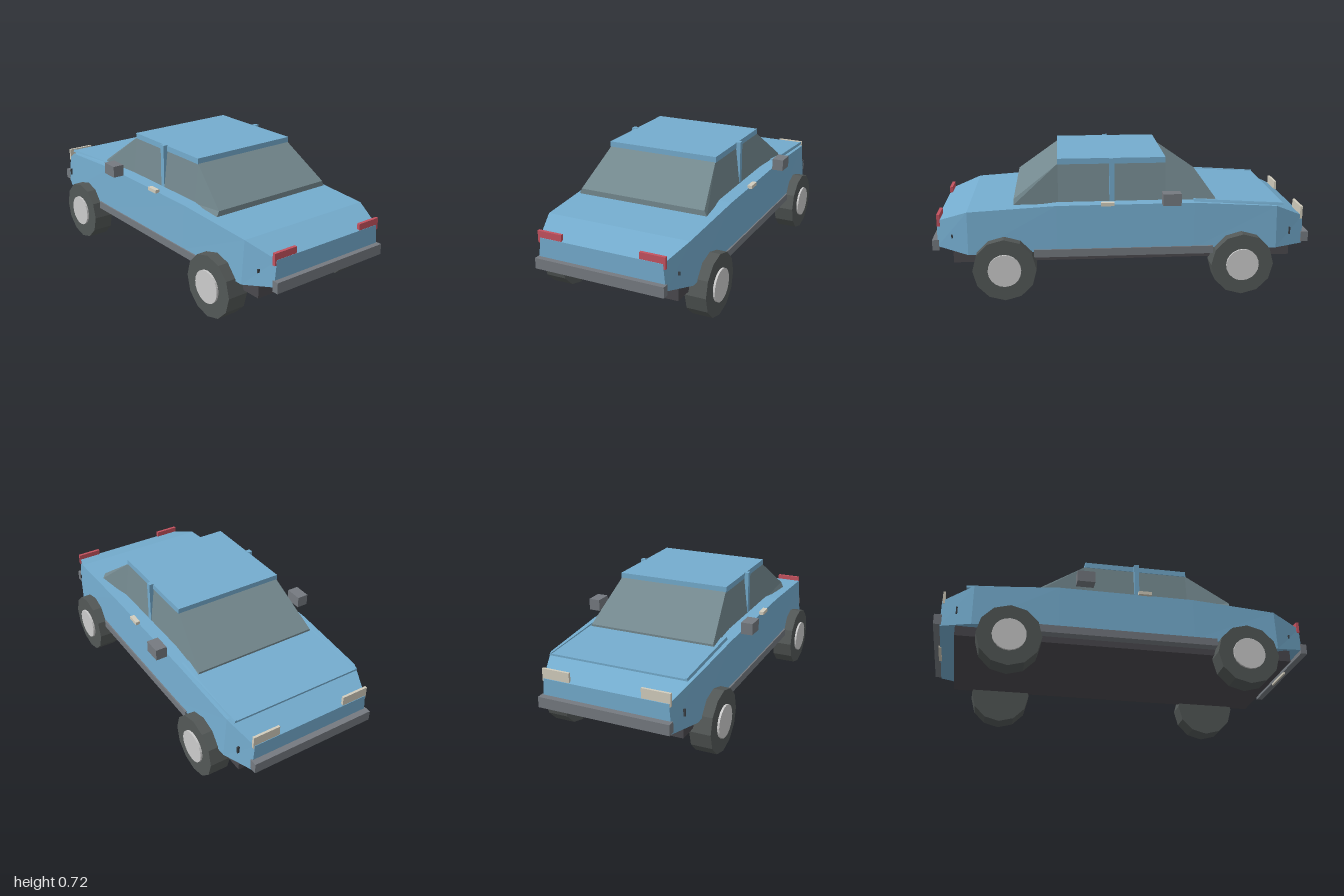
import * as THREE from 'three';

const mat = (color) => new THREE.MeshStandardMaterial({ color, flatShading: true });

// Closed hull lofted through four-cornered sections, ordered from +z to -z:
// [z, bottom y, top y, bottom half width, top half width]
function loft(sections) {
  const rings = sections.map(([z, b, t, wb, wt]) => [[-wb, b, z], [wb, b, z], [wt, t, z], [-wt, t, z]]);
  const pos = [];
  const quad = (a, b, c, d) => pos.push(...a, ...b, ...c, ...a, ...c, ...d);
  for (let i = 0; i < rings.length - 1; i++) {
    for (let j = 0; j < 4; j++) {
      const k = (j + 1) % 4;
      quad(rings[i][j], rings[i + 1][j], rings[i + 1][k], rings[i][k]);
    }
  }
  const last = rings[rings.length - 1];
  quad(...rings[0]);
  quad(last[3], last[2], last[1], last[0]);
  const geo = new THREE.BufferGeometry();
  geo.setAttribute('position', new THREE.Float32BufferAttribute(pos, 3));
  geo.computeVertexNormals();
  return geo;
}

export function createModel() {
  const car = new THREE.Group();
  car.name = 'car';

  const paint = mat(0x74acce);
  const glass = mat(0x74898f);
  const trim = mat(0x757a80);
  const under = mat(0x4a494e);
  const rubber = mat(0x535857);
  const metal = mat(0xcccccc);
  const red = mat(0xc4525f);
  const lamp = mat(0xd2cdbd);
  const dark = mat(0x3a4046);

  const add = (name, geo, material, x = 0, y = 0, z = 0) => {
    const mesh = new THREE.Mesh(geo, material);
    mesh.name = name;
    mesh.position.set(x, y, z);
    car.add(mesh);
    return mesh;
  };
  // Box given by its extents along each axis
  const box = (name, material, [x0, x1], [y0, y1], [z0, z1]) =>
    add(name, new THREE.BoxGeometry(x1 - x0, y1 - y0, z1 - z0), material,
      (x0 + x1) / 2, (y0 + y1) / 2, (z0 + z1) / 2);
  // The same box on both sides of the car
  const pair = (name, material, [x0, x1], y, z) => {
    box(name + 'Left', material, [x0, x1], y, z);
    box(name + 'Right', material, [-x1, -x0], y, z);
  };

  // Lower body with tapered ends
  add('body', loft([
    [0.972, 0.268, 0.402, 0.348, 0.335],
    [0.81, 0.235, 0.46, 0.408, 0.392],
    [0.35, 0.25, 0.488, 0.415, 0.402],
    [-0.37, 0.25, 0.49, 0.415, 0.402],
    [-0.81, 0.235, 0.46, 0.408, 0.392],
    [-0.967, 0.238, 0.388, 0.348, 0.335],
  ]), paint);

  // Bonnet panel with a raised rib along each edge
  add('bonnet', loft([
    [-0.37, 0.485, 0.496, 0.37, 0.37],
    [-0.85, 0.458, 0.468, 0.37, 0.37],
  ]), paint);
  for (const s of [1, -1]) {
    add('bonnetRib', loft([
      [-0.37, 0.485, 0.503, 0.014, 0.006],
      [-0.85, 0.458, 0.472, 0.008, 0.004],
    ]), paint, s * 0.366);
  }

  // Glass cabin, roof and middle pillars
  add('windows', loft([
    [0.57, 0.488, 0.516, 0.365, 0.352],
    [0.34, 0.48, 0.688, 0.33, 0.305],
    [-0.225, 0.48, 0.688, 0.33, 0.305],
    [-0.487, 0.485, 0.5, 0.352, 0.347],
  ]), glass);
  box('roof', paint, [-0.308, 0.308], [0.685, 0.715], [-0.225, 0.342]);
  pair('pillar', paint, [0.302, 0.33], [0.485, 0.718], [0.045, 0.072]);

  // Underside and sills
  box('floor', under, [-0.37, 0.37], [0.183, 0.246], [-0.89, 0.89]);
  pair('sill', trim, [0.35, 0.422], [0.217, 0.258], [-0.47, 0.47]);

  // Bumpers, number plates and lamps at both ends
  box('rearBumper', trim, [-0.352, 0.352], [0.246, 0.302], [0.965, 1]);
  box('frontBumper', trim, [-0.352, 0.352], [0.246, 0.302], [-1, -0.96]);
  box('rearPlate', lamp, [-0.09, 0.09], [0.235, 0.29], [0.965, 0.976]);
  box('frontPlate', lamp, [-0.09, 0.09], [0.235, 0.29], [-0.976, -0.96]);
  pair('tailLamp', red, [0.212, 0.347], [0.375, 0.437], [0.955, 0.971]);
  pair('headLamp', lamp, [0.192, 0.342], [0.372, 0.44], [-0.965, -0.952]);
  pair('rearMarker', dark, [0.36, 0.381], [0.32, 0.338], [0.888, 0.895]);
  pair('frontMarker', dark, [0.36, 0.381], [0.3, 0.338], [-0.892, -0.884]);

  // Mirrors and door handles
  pair('mirror', trim, [0.418, 0.48], [0.498, 0.56], [-0.288, -0.194]);
  pair('doorHandle', lamp, [0.395, 0.42], [0.486, 0.504], [0.05, 0.12]);

  // Wheels
  const tyreGeo = new THREE.CylinderGeometry(0.165, 0.165, 0.112, 12).rotateZ(Math.PI / 2);
  const hubGeo = new THREE.CylinderGeometry(0.086, 0.086, 0.03, 20).rotateZ(Math.PI / 2);
  for (const s of [1, -1]) {
    for (const [end, z] of [['rear', 0.623], ['front', -0.62]]) {
      add(end + 'Tyre', tyreGeo, rubber, s * 0.407, 0.165, z);
      add(end + 'Hub', hubGeo, metal, s * 0.459, 0.165, z);
    }
  }

  return car;
}
